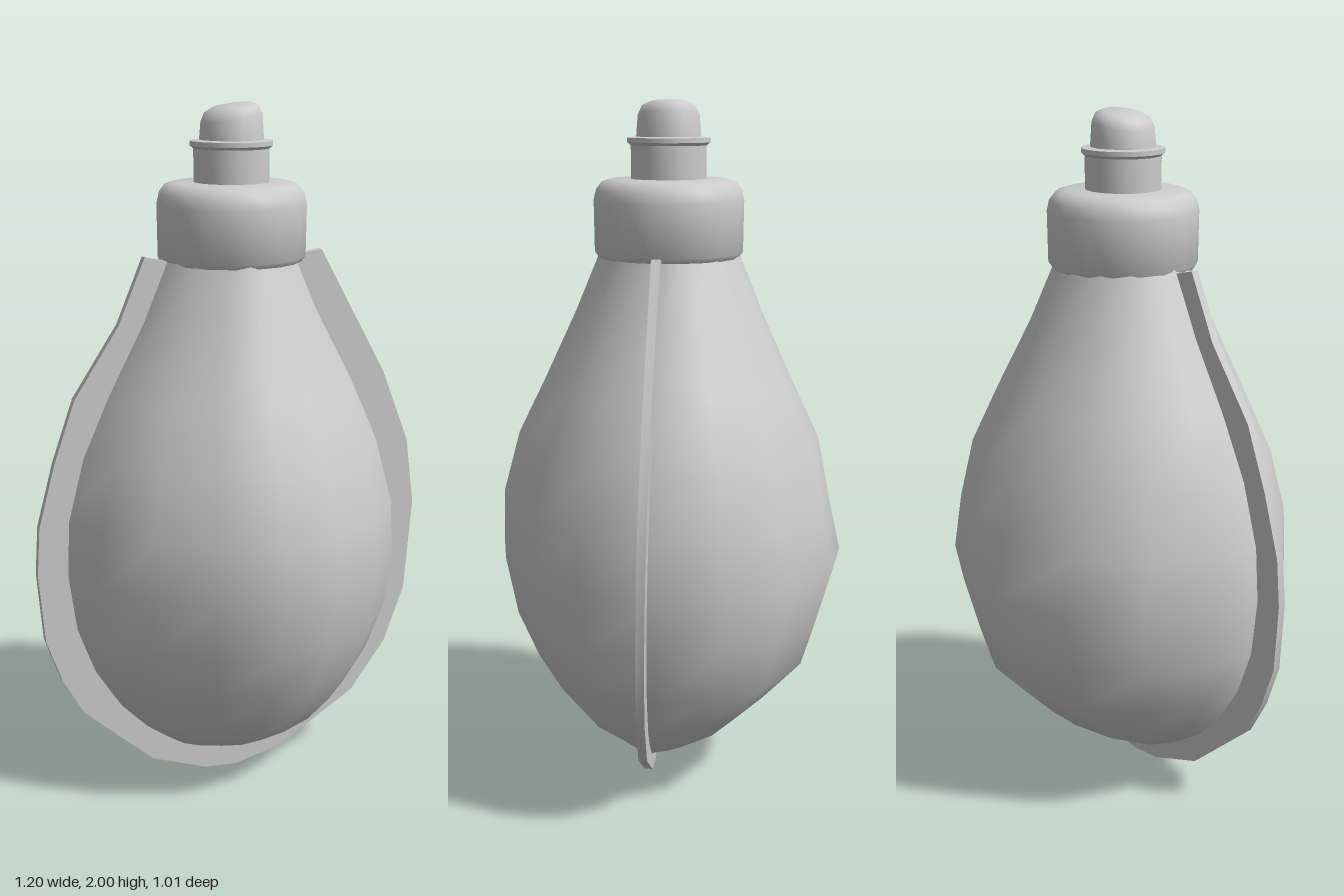
import * as THREE from 'three';
import { toCreasedNormals } from 'three/addons/utils/BufferGeometryUtils.js';

const material = new THREE.MeshStandardMaterial({ color: 0xcccccc });

function addMesh(group, name, geometry) {
  const mesh = new THREE.Mesh(geometry, material);
  mesh.name = name;
  group.add(mesh);
  return mesh;
}

function lathe(points, sides) {
  const geometry = new THREE.LatheGeometry(points.map(([r, y]) => new THREE.Vector2(r, y)), sides);
  return geometry;
}

// Soft pouch: one slightly uneven outline, scaled ring by ring
function bodyGeometry() {
  const outline = [ // x, z at the widest height, running from +x towards +z
    [0.527, 0.01], [0.44, 0.22], [0.32, 0.36], [0.14, 0.47], [-0.04, 0.505], [-0.2, 0.43], [-0.355, 0.32], [-0.46, 0.19],
    [-0.53, 0], [-0.5, -0.12], [-0.42, -0.31], [-0.25, -0.45], [-0.02, -0.51], [0.16, -0.485], [0.385, -0.355], [0.475, -0.18],
  ];
  const rings = [ // y, half width in x, half depth front, half depth back
    [0.07, 0.08, 0.03, 0.02], [0.11, 0.2, 0.12, 0.13], [0.18, 0.3, 0.24, 0.24], [0.26, 0.38, 0.32, 0.32],
    [0.38, 0.46, 0.41, 0.42], [0.52, 0.51, 0.475, 0.46], [0.69, 0.53, 0.51, 0.51], [0.85, 0.52, 0.505, 0.475],
    [1.03, 0.47, 0.455, 0.44], [1.2, 0.39, 0.37, 0.36], [1.4, 0.28, 0.275, 0.27], [1.6, 0.19, 0.19, 0.19],
  ];
  const n = outline.length, pos = [], index = [];
  rings.forEach(([y, w, front, back]) => {
    const lean = 0.05 * Math.max(0, 1 - y / 0.4);
    for (const [x, z] of outline) pos.push(x * w / 0.53, y, z * (z > 0 ? front : back) / 0.51 + lean);
  });
  for (let i = 0; i < rings.length - 1; i++) {
    for (let j = 0; j < n; j++) {
      const k = (j + 1) % n, a = i * n + j, b = i * n + k;
      index.push(a, a + n, b, b, a + n, b + n);
    }
  }
  // close the bottom
  const tip = pos.length / 3;
  pos.push(0, 0.06, 0.045);
  for (let j = 0; j < n; j++) index.push(tip, j, (j + 1) % n);
  const geometry = new THREE.BufferGeometry();
  geometry.setAttribute('position', new THREE.Float32BufferAttribute(pos, 3));
  geometry.setIndex(index);
  geometry.computeVertexNormals();
  return geometry;
}

// Flat welded seam around the pouch, leaning forward towards the bottom
function seamGeometry() {
  const edge = [
    [-0.26, 1.585], [-0.34, 1.4], [-0.475, 1.2], [-0.54, 1.02], [-0.59, 0.84], [-0.6, 0.7], [-0.585, 0.5],
    [-0.54, 0.37], [-0.48, 0.26], [-0.27, 0.07], [-0.1, 0.008], [0, 0], [0.15, 0.035], [0.395, 0.18],
    [0.51, 0.33], [0.575, 0.5], [0.6, 0.78], [0.575, 0.98], [0.49, 1.2], [0.38, 1.4], [0.28, 1.58],
    [0.18, 1.565], [-0.18, 1.565],
  ].map(([x, y]) => new THREE.Vector2(x, y));
  const geometry = new THREE.ExtrudeGeometry(new THREE.Shape(edge), { depth: 0.024, bevelEnabled: false });
  const p = geometry.attributes.position;
  for (let i = 0; i < p.count; i++) p.setZ(i, p.getZ(i) - 0.012 + 0.053 - 0.022 * p.getY(i));
  return toCreasedNormals(geometry, 0.6);
}

export function createModel() {
  const model = new THREE.Group();
  model.name = 'squeezePouch';
  addMesh(model, 'pouchBody', bodyGeometry());
  addMesh(model, 'sideSeam', seamGeometry());

  const top = new THREE.Group();
  top.name = 'closure';
  top.position.x = 0.01;
  model.add(top);

  // Rounded screw cap
  addMesh(top, 'screwCap', toCreasedNormals(lathe([
    [0, 1.565], [0.2, 1.56], [0.212, 1.575], [0.214, 1.72], [0.207, 1.75], [0.19, 1.772], [0.165, 1.78], [0, 1.78],
  ], 18), 0.9));

  // Spout with a thin flange
  addMesh(top, 'spout', toCreasedNormals(lathe([
    [0.107, 1.77], [0.107, 1.872], [0.117, 1.88], [0.117, 1.893], [0.09, 1.896], [0, 1.896],
  ], 24), 0.6));

  // Valve tip with a domed, slightly slanted top
  const tip = lathe([[0.092, 1.89], [0.087, 1.955], [0.077, 1.978], [0.055, 1.989], [0, 1.992]], 18);
  const p = tip.attributes.position;
  for (let i = 0; i < p.count; i++) {
    if (p.getY(i) > 1.9) p.setY(i, Math.min(2, p.getY(i) + 0.15 * p.getX(i)));
  }
  tip.computeVertexNormals();
  addMesh(top, 'valveTip', toCreasedNormals(tip, 0.9));
  return model;
}
